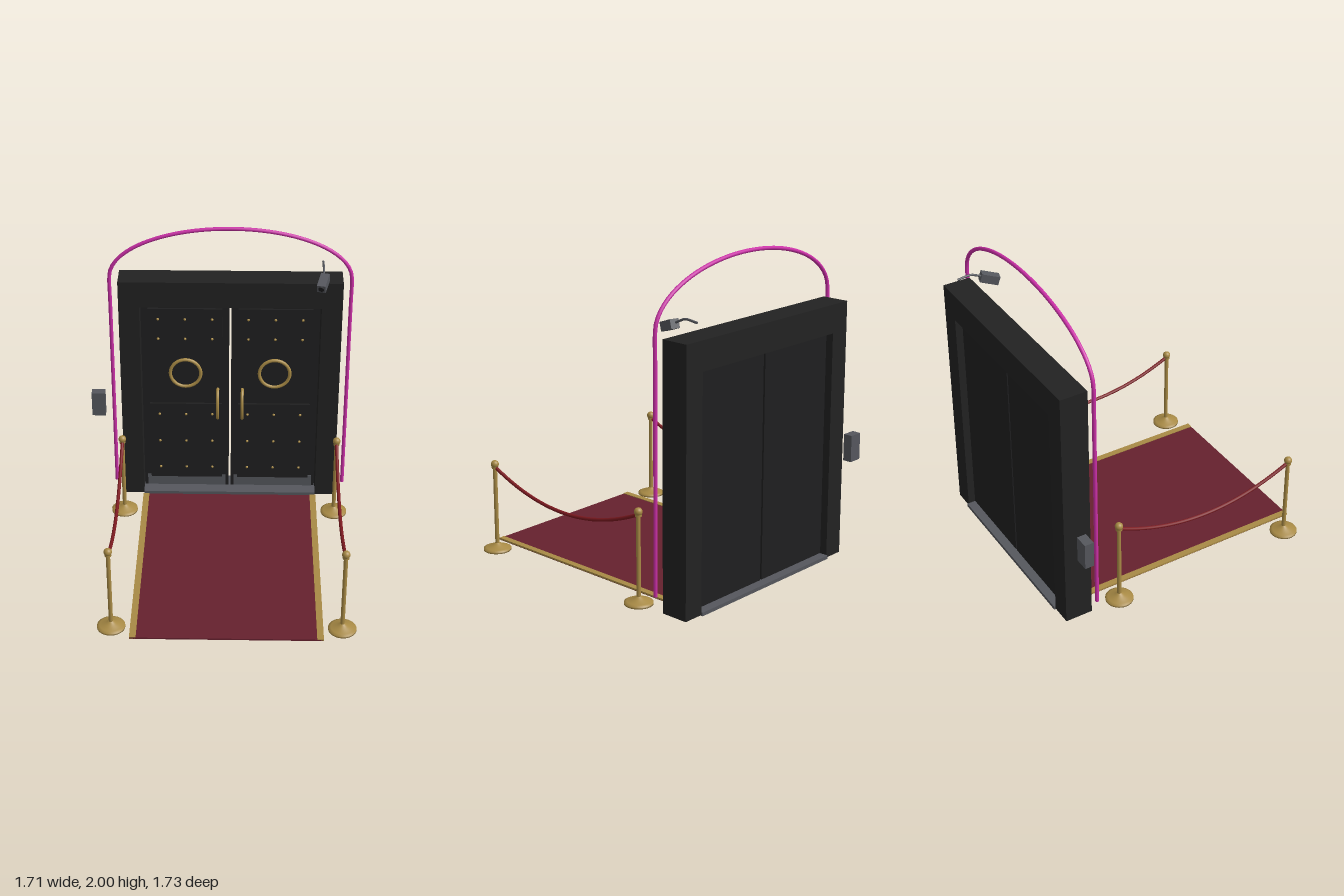
import * as THREE from 'three';

const mat = (name, color, side = THREE.FrontSide) => {
  const m = new THREE.MeshStandardMaterial({ color, side });
  m.name = name;
  return m;
};

export function createModel() {
  const root = new THREE.Group();
  root.name = 'clubEntrance';
  const black = mat('frame black', 0x222222);
  const doorBlack = mat('door black', 0x1f1f20);
  const gold = mat('brass', 0xa88a45);
  const steel = mat('grey steel', 0x55575d);
  const red = mat('carpet red', 0x66212e);
  const ropeRed = mat('rope red', 0x7d1a20);
  const pink = mat('neon pink', 0xcc30a8);

  const XC = 0.065; // centre line of the doorway

  const add = (parent, name, geo, m, x = 0, y = 0, z = 0) => {
    const mesh = new THREE.Mesh(geo, m);
    mesh.name = name;
    mesh.position.set(x, y, z);
    parent.add(mesh);
    return mesh;
  };
  // Box given by its limits
  const box = (parent, name, m, x0, x1, y0, y1, z0, z1) =>
    add(parent, name, new THREE.BoxGeometry(x1 - x0, y1 - y0, z1 - z0), m,
      (x0 + x1) / 2, (y0 + y1) / 2, (z0 + z1) / 2);
  const V = (x, y, z) => new THREE.Vector3(x, y, z);
  // Round bar along a curve, with closed ends
  const bar = (parent, name, curve, r, m, seg = 32, sides = 12) => {
    const g = new THREE.Group();
    g.name = name;
    add(g, name + 'Tube', new THREE.TubeGeometry(curve, seg, r, sides), m);
    for (const t of [0, 1]) {
      const cap = add(g, name + 'Cap', new THREE.CircleGeometry(r, sides), m);
      const p = curve.getPointAt(t), d = curve.getTangentAt(t);
      cap.position.copy(p);
      cap.lookAt(p.clone().addScaledVector(d, t ? 1 : -1));
    }
    parent.add(g);
    return g;
  };

  // Door frame: an upside-down U
  const u = new THREE.Shape([
    [-0.713, 0.005], [-0.581, 0.005], [-0.581, 1.432], [0.581, 1.432],
    [0.581, 0.005], [0.713, 0.005], [0.713, 1.608], [-0.713, 1.608],
  ].map(([x, y]) => new THREE.Vector2(x, y)));
  add(root, 'doorFrame', new THREE.ExtrudeGeometry(u, { depth: 0.175, bevelEnabled: false }),
    black, XC, 0, -0.855);
  box(root, 'threshold', steel, XC - 0.581, XC + 0.581, 0, 0.022, -0.865, -0.67);

  // Two mirrored door leaves
  const doorFront = -0.755;
  for (const s of [-1, 1]) {
    const leaf = new THREE.Group();
    leaf.name = s < 0 ? 'rightDoor' : 'leftDoor';
    leaf.position.set(XC + s * 0.292, 0, doorFront);
    root.add(leaf);
    box(leaf, 'doorLeaf', doorBlack, -0.285, 0.285, 0.025, 1.426, -0.055, 0);
    box(leaf, 'kickPlate', steel, -0.265, 0.265, 0.028, 0.108, 0, 0.006);

    // Raised panels with rows of studs
    const panels = [
      [1.098, 1.39, [1.172, 1.315]],
      [0.098, 0.68, [0.18, 0.39, 0.6]],
    ];
    for (const [y0, y1, rows] of panels) {
      box(leaf, 'raisedPanel', doorBlack, -0.24, 0.24, y0, y1, 0, 0.015);
      for (const y of rows) {
        for (const x of [-0.175, 0, 0.175]) {
          add(leaf, 'stud', new THREE.SphereGeometry(0.009, 10, 8), gold, x, y, 0.015);
        }
      }
    }

    // Porthole ring and its dark pane
    add(leaf, 'portholeRing', new THREE.TorusGeometry(0.1, 0.011, 12, 40), gold, 0, 0.912, 0.008);
    const pane = add(leaf, 'portholePane', new THREE.CylinderGeometry(0.095, 0.095, 0.006, 36),
      doorBlack, 0, 0.912, 0.003);
    pane.rotation.x = Math.PI / 2;

    // Bowed pull handle near the meeting edge
    const hx = -s * 0.211;
    const pts = [];
    for (let i = 0; i <= 8; i++) {
      const a = (i / 8) * Math.PI;
      pts.push(V(hx, 0.68 - 0.11 * Math.cos(a), 0.075 * Math.sin(a)));
    }
    bar(leaf, 'pullHandle', new THREE.CatmullRomCurve3(pts), 0.01, gold, 28, 10);
  }

  // Neon arch: straight legs with an elliptical top
  const arch = [];
  for (const y of [0.12, 0.5, 0.9, 1.3, 1.5]) arch.push(V(XC - 0.761, y, -0.67));
  for (let i = 0; i <= 20; i++) {
    const a = Math.PI * (1 - i / 20);
    arch.push(V(XC + 0.761 * Math.cos(a), 1.65 + 0.338 * Math.sin(a), -0.67));
  }
  for (const y of [1.5, 1.3, 0.9, 0.5, 0.12]) arch.push(V(XC + 0.761, y, -0.67));
  bar(root, 'neonArch', new THREE.CatmullRomCurve3(arch), 0.012, pink, 120, 12);

  // Carpet with brass edge strips
  box(root, 'carpet', red, XC - 0.583, XC + 0.583, 0.002, 0.012, -0.655, 0.86);
  for (const s of [-1, 1]) {
    const a = XC + s * 0.545, b = XC + s * 0.585;
    box(root, 'carpetEdge', gold, Math.min(a, b), Math.max(a, b), 0.005, 0.016, -0.655, 0.86);
  }

  // Rope barriers, one on each side
  const baseProfile = [
    [0, 0.002], [0.086, 0.002], [0.086, 0.014], [0.07, 0.021], [0.035, 0.032], [0.013, 0.048],
  ].map(([x, y]) => new THREE.Vector2(x, y));
  const zFront = 0.747, zBack = -0.479;
  for (const s of [-1, 1]) {
    const barrier = new THREE.Group();
    barrier.name = s < 0 ? 'rightBarrier' : 'leftBarrier';
    barrier.position.x = XC + s * 0.7;
    root.add(barrier);
    for (const z of [zFront, zBack]) {
      add(barrier, 'postBase', new THREE.LatheGeometry(baseProfile, 32), gold, 0, 0, z);
      add(barrier, 'post', new THREE.CylinderGeometry(0.013, 0.013, 0.53, 16), gold, 0, 0.285, z);
      add(barrier, 'postCollar', new THREE.CylinderGeometry(0.02, 0.02, 0.016, 16), gold, 0, 0.545, z);
      add(barrier, 'postBall', new THREE.SphereGeometry(0.025, 20, 14), gold, 0, 0.565, z);
    }
    const sag = new THREE.QuadraticBezierCurve3(
      V(0, 0.548, zFront), V(0, 0.25, (zFront + zBack) / 2), V(0, 0.548, zBack));
    bar(barrier, 'rope', sag, 0.011, ropeRed, 40, 10);
  }

  // Small wall box beside the doorway
  box(root, 'wallBox', steel, -0.856, -0.767, 0.56, 0.73, -0.835, -0.777);

  // Security camera on a bent arm
  const cam = new THREE.Group();
  cam.name = 'securityCamera';
  root.add(cam);
  const body = add(cam, 'cameraBody', new THREE.BoxGeometry(0.055, 0.055, 0.115), steel, 0.645, 1.652, -0.61);
  body.rotation.set(0.33, -0.28, 0, 'YXZ');
  const lens = add(body, 'cameraLens', new THREE.CylinderGeometry(0.018, 0.018, 0.006, 20), doorBlack, 0, 0, 0.058);
  lens.rotation.x = Math.PI / 2;
  bar(cam, 'cameraArm', new THREE.CatmullRomCurve3([
    V(0.652, 1.67, -0.65), V(0.65, 1.69, -0.69), V(0.65, 1.705, -0.73), V(0.65, 1.698, -0.815),
  ]), 0.007, steel, 20, 10);

  return root;
}
